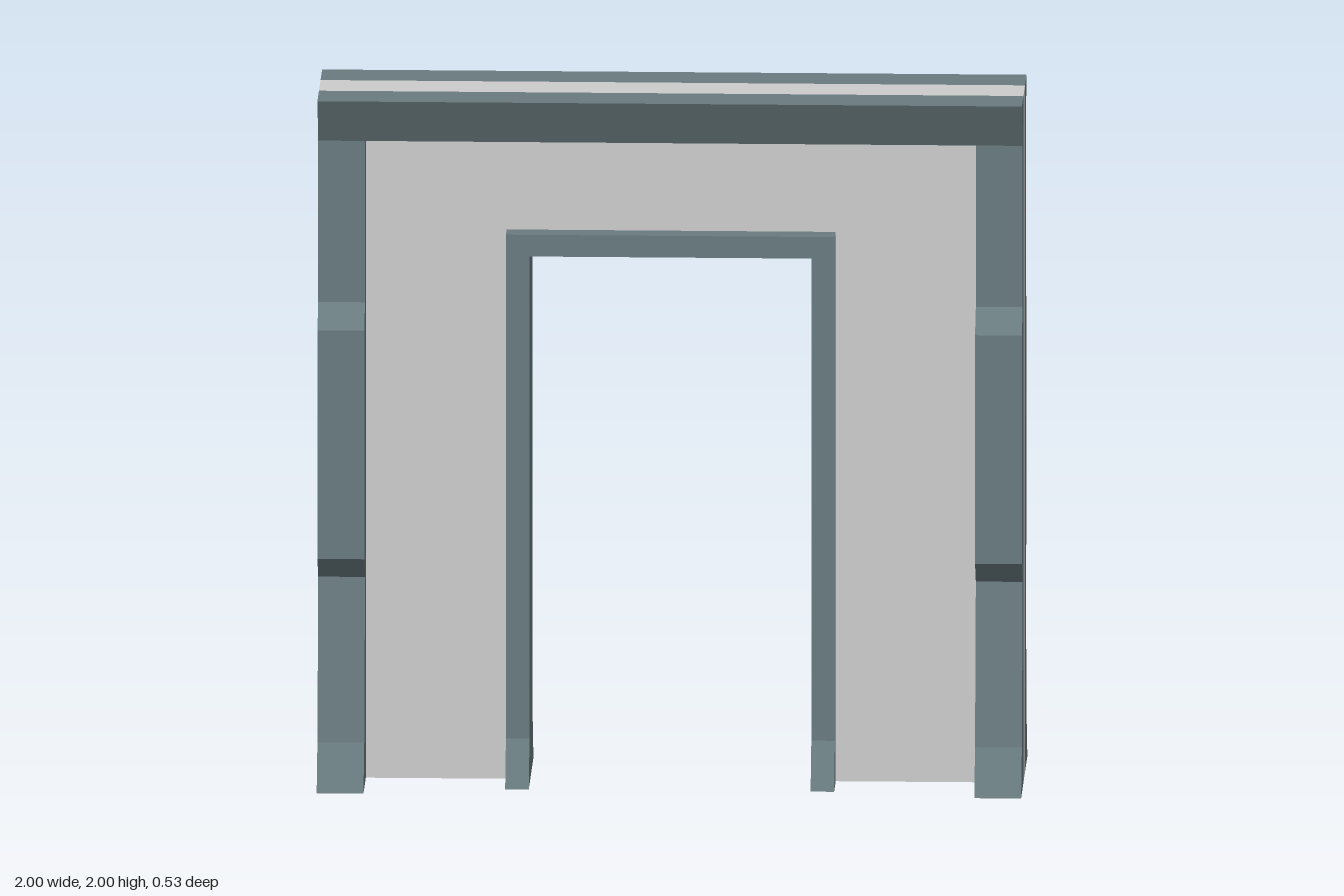
import * as THREE from 'three';

const grey = new THREE.MeshStandardMaterial({ color: 0xcccccc, flatShading: true });
const slate = new THREE.MeshStandardMaterial({ color: 0x697a7f, flatShading: true });

const W = 0.067; // half thickness of the wall core

function polygon(points) {
  return new THREE.Shape(points.map(([x, y]) => new THREE.Vector2(x, y)));
}

// Extrudes a (z, y) outline along x, from x0 to x1
function extrudeX(points, x0, x1) {
  const geo = new THREE.ExtrudeGeometry(polygon(points), { depth: x1 - x0, bevelEnabled: false });
  return geo.rotateY(-Math.PI / 2).translate(x1, 0, 0);
}

// Gives triangles facing straight down the second material
function splitUndersides(geometry) {
  const geo = geometry.index ? geometry.toNonIndexed() : geometry;
  const normal = geo.attributes.normal;
  geo.clearGroups();
  for (let i = 0; i < normal.count; i += 3) {
    geo.addGroup(i, 3, normal.getY(i) < -0.99 ? 1 : 0);
  }
  return geo;
}

export function createModel() {
  const model = new THREE.Group();
  const add = (name, geometry, material) => {
    const mesh = new THREE.Mesh(geometry, material);
    mesh.name = name;
    model.add(mesh);
  };

  // Wall core with the doorway cut out
  const wall = polygon([
    [-1, 0], [-0.467, 0], [-0.467, 1.6], [0.467, 1.6],
    [0.467, 0], [1, 0], [1, 2], [-1, 2],
  ]);
  const wallGeo = new THREE.ExtrudeGeometry(wall, { depth: 2 * W, bevelEnabled: false });
  add('wall', wallGeo.translate(0, 0, -W), grey);

  // Pilasters and cornice on both faces of the wall
  const pilaster = [
    [W, 0], [0.267, 0], [0.2, 0.133], [0.133, 0.6], [0.2, 0.667],
    [0.2, 1.333], [0.133, 1.4], [0.133, 1.87], [W, 1.87],
  ];
  const cornice = [[W, 1.87], [0.133, 1.87], [0.2, 2], [W, 2]];
  for (const [side, sign] of [['front', 1], ['back', -1]]) {
    const facing = (points) => points.map(([z, y]) => [z * sign, y]);
    add(side + 'Cornice', extrudeX(facing(cornice), -1, 1), slate);
    add(side + 'LeftPilaster', extrudeX(facing(pilaster), 0.867, 1), slate);
    add(side + 'RightPilaster', extrudeX(facing(pilaster), -1, -0.867), slate);
  }

  // Door frame: flared jambs and a lintel, with plain undersides
  const jamb = [
    [-0.2, 0], [0.2, 0], [0.133, 0.133], [0.133, 1.6], [-0.133, 1.6], [-0.133, 0.133],
  ];
  add('leftJamb', splitUndersides(extrudeX(jamb, 0.4, 0.467)), [slate, grey]);
  add('rightJamb', splitUndersides(extrudeX(jamb, -0.467, -0.4)), [slate, grey]);
  const lintel = new THREE.BoxGeometry(0.8, 0.063, 0.266).translate(0, 1.5685, 0);
  add('lintel', splitUndersides(lintel), [slate, grey]);

  return model;
}
